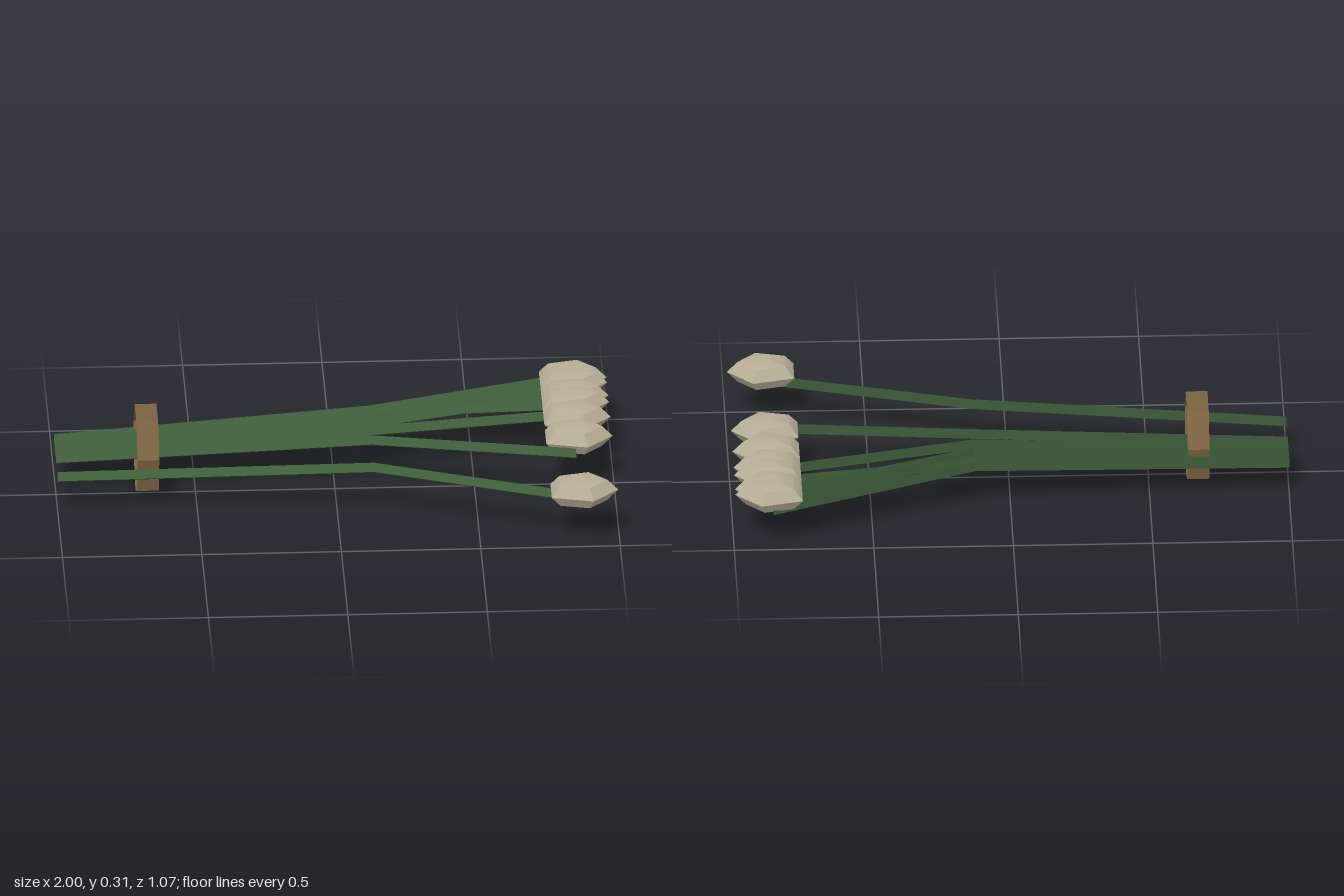
import * as THREE from 'three';
import { toCreasedNormals } from 'three/addons/utils/BufferGeometryUtils.js';

// Three-sided stem lofted through a list of [x, y, z] centres
function stemGeometry(path, r) {
  const h = r * Math.sqrt(3) / 2;
  const rings = path.map(([x, y, z]) => [
    [x, y, z + r], [x, y + h, z - r / 2], [x, y - h, z - r / 2],
  ]);
  const pos = [];
  const tri = (a, b, c) => pos.push(...a, ...b, ...c);
  for (let i = 0; i < rings.length - 1; i++) {
    const s = rings[i], t = rings[i + 1];
    for (let k = 0; k < 3; k++) {
      const n = (k + 1) % 3;
      tri(s[k], t[k], t[n]);
      tri(s[k], t[n], s[n]);
    }
  }
  const first = rings[0], last = rings[rings.length - 1];
  tri(first[0], first[1], first[2]);
  tri(last[0], last[2], last[1]);
  const geo = new THREE.BufferGeometry();
  geo.setAttribute('position', new THREE.Float32BufferAttribute(pos, 3));
  geo.computeVertexNormals();
  return geo;
}

export function createModel() {
  const model = new THREE.Group();
  model.name = 'tiedBunch';

  const stemGreen = new THREE.MeshStandardMaterial({ color: 0x3d5c38, flatShading: true });
  stemGreen.name = 'stemGreen';
  const budCream = new THREE.MeshStandardMaterial({ color: 0xb8ae96 });
  budCream.name = 'budCream';
  const bandBrown = new THREE.MeshStandardMaterial({
    color: 0x7a6240, flatShading: true, side: THREE.DoubleSide,
  });
  bandBrown.name = 'bandBrown';

  const add = (geo, mat, name) => {
    const mesh = new THREE.Mesh(geo, mat);
    mesh.name = name;
    model.add(mesh);
    return mesh;
  };

  // Stems: z at the cut end, at the bend and at the bud
  const stems = [
    [0.14, 0.217, 0.45], [-0.005, 0, 0.1], [-0.057, -0.075, -0.21],
    [-0.09, -0.135, -0.375], [-0.112, -0.157, -0.44],
    [-0.143, -0.215, -0.285], [-0.16, -0.235, -0.495],
  ];
  stems.forEach(([a, b, c], i) => {
    const path = [[-1, 0.135, a], [0.13, 0.185, b], [0.86, 0.166, c]];
    add(stemGeometry(path, 0.023), stemGreen, `stem${i + 1}`);
  });

  // Buds: flattened five-sided spheres pointing to +x
  const sphere = new THREE.SphereGeometry(1, 5, 4, Math.PI);
  sphere.scale(0.133, 0.057, 0.095);
  const budGeo = toCreasedNormals(sphere, 0.7);
  [0.445, 0.018, -0.133, -0.25, -0.303, -0.405, -0.445].forEach((z, i) => {
    add(budGeo, budCream, `bud${i + 1}`).position.set(0.862, 0.198, z);
  });

  // Seven-sided open band around the stems, with a corner at the bottom
  const bandGeo = new THREE.CylinderGeometry(0.163, 0.163, 0.078, 7, 1, true, -Math.PI / 2);
  bandGeo.rotateZ(Math.PI / 2);
  add(bandGeo, bandBrown, 'band').position.set(-0.675, 0.163, -0.02);

  return model;
}
